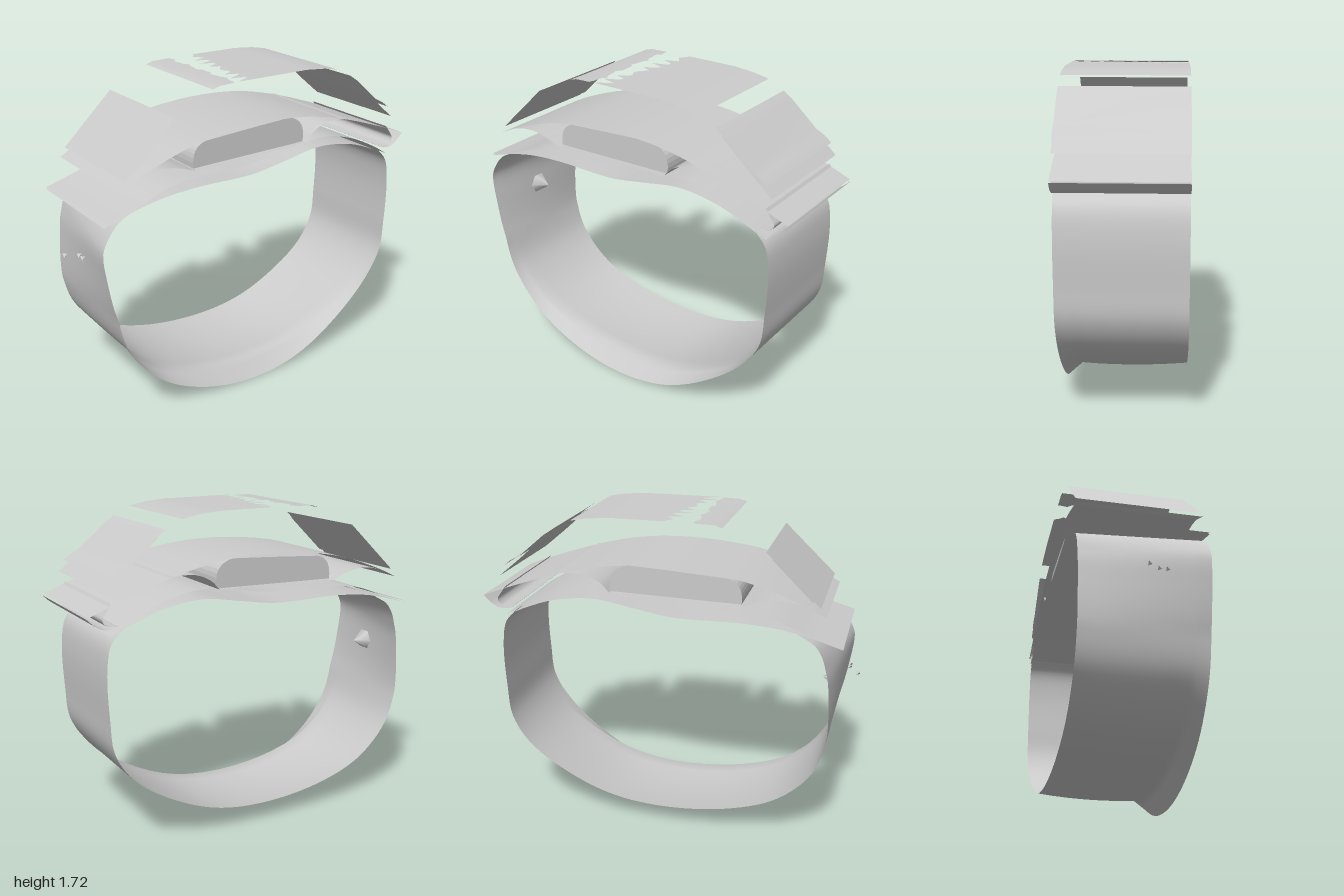
import * as THREE from 'three';

const W = 0.32; // half width of the bracelet along z
const material = new THREE.MeshStandardMaterial({ color: 0xcccccc, side: THREE.DoubleSide });

// Sample a smooth curve, or keep the given corners when smooth is false
function sample(points, smooth, count = 64, closed = false) {
  const v = points.map(([x, y]) => new THREE.Vector3(x, y, 0));
  return smooth ? new THREE.CatmullRomCurve3(v, closed, 'centripetal').getPoints(count) : v;
}

// Sheet that carries a side profile across z; shift(p, z) may bend it, edge(z) may trim its ends in x
function sheet(name, points, { smooth = true, zs = [W, -W], shift, count } = {}) {
  const line = sample(points, smooth, count);
  const n = line.length, pos = [], idx = [];
  for (const z of zs) for (const [i, p] of line.entries()) {
    const q = shift ? shift(p, z, i / (n - 1)) : [p.x, p.y];
    pos.push(q[0], q[1], z);
  }
  for (let r = 0; r < zs.length - 1; r++) for (let i = 0; i < n - 1; i++) {
    const a = r * n + i, b = a + n;
    idx.push(a, a + 1, b, b, a + 1, b + 1);
  }
  const g = new THREE.BufferGeometry();
  g.setAttribute('position', new THREE.Float32BufferAttribute(pos, 3));
  g.setIndex(idx);
  g.computeVertexNormals();
  const mesh = new THREE.Mesh(g, material);
  mesh.name = name;
  return mesh;
}

const range = (a, b, n) => Array.from({ length: n + 1 }, (_, i) => a + (b - a) * i / n);

export function createModel() {
  const model = new THREE.Group();
  model.name = 'bracelet';

  // Wrist strap: leans inward at the upper left rear, flares down at the front lower edge
  const strap = [[-0.72, 1.2], [-0.82, 1.14], [-0.885, 1.02], [-0.89, 0.85], [-0.865, 0.62], [-0.8, 0.43],
    [-0.62, 0.25], [-0.35, 0.145], [0, 0.105], [0.3, 0.14], [0.56, 0.25], [0.78, 0.41], [0.88, 0.57],
    [0.9, 0.75], [0.905, 1.0], [0.88, 1.13], [0.82, 1.2]];
  model.add(sheet('wristStrap', strap, {
    count: 100,
    zs: [W, 0.29, 0.26, 0.235, 0.16, 0.08, 0, -0.08, -0.16, -0.24, -W],
    shift: (p, z) => {
      const flare = Math.max(0, (z - 0.235) / 0.085);
      const low = Math.max(0, Math.cos(Math.PI / 2 * Math.min(1, Math.abs(p.x + 0.05) / 0.85)));
      const bottom = p.y < 0.6 ? 1 : 0;
      const belly = -0.025 * (1 - (z / W) ** 2) * low * bottom;
      const lean = p.x < 0 ? Math.max(0, 1 - Math.abs(p.y - 1.02) / 0.4) * -0.045 * z / W : 0;
      return [p.x + lean, p.y + belly + bottom * low * (0.015 - 0.11 * flare)];
    },
  }));

  // Base plates lying on the strap
  model.add(sheet('basePlateUpper', [[-0.92, 1.15], [-0.75, 1.2], [-0.55, 1.27], [-0.3, 1.29], [0, 1.3],
    [0.25, 1.335], [0.42, 1.35], [0.6, 1.31], [0.76, 1.24], [0.88, 1.17]]));
  model.add(sheet('basePlateLower', [[-0.92, 1.14], [-0.75, 1.19], [-0.6, 1.22], [-0.4, 1.235], [-0.05, 1.235],
    [0.15, 1.265], [0.38, 1.3], [0.6, 1.275], [0.76, 1.22], [0.85, 1.18]]));

  // Tray holding the display block
  model.add(sheet('trayLeft', [[-0.83, 1.3], [-0.72, 1.35], [-0.6, 1.37], [-0.5, 1.355], [-0.4, 1.32]]));
  model.add(sheet('trayFloor', [[-0.4, 1.32], [-0.1, 1.325], [0.1, 1.335], [0.29, 1.34]]));
  model.add(sheet('trayRight', [[0.29, 1.34], [0.34, 1.39], [0.42, 1.425], [0.5, 1.43], [0.57, 1.425]]));

  // Display block
  const s = new THREE.Shape();
  s.moveTo(-0.4, 1.325);
  s.lineTo(0.29, 1.34);
  s.quadraticCurveTo(0.31, 1.46, 0.2, 1.485);
  s.lineTo(0, 1.475);
  s.lineTo(-0.32, 1.455);
  s.quadraticCurveTo(-0.41, 1.44, -0.4, 1.325);
  const block = new THREE.Mesh(new THREE.ExtrudeGeometry(s, { depth: 0.58, bevelEnabled: false, curveSegments: 8 }), material);
  block.position.z = -0.29;
  block.name = 'displayBlock';
  model.add(block);

  // Arched cover and the hooked clasp at its left end
  model.add(sheet('archedCover', [[-0.83, 1.3], [-0.7, 1.36], [-0.45, 1.445], [-0.2, 1.485], [0.05, 1.497],
    [0.3, 1.48], [0.55, 1.425], [0.8, 1.345], [0.99, 1.275]]));
  model.add(sheet('claspHook', [[0.87, 1.33], [0.9, 1.29], [0.92, 1.255], [0.9, 1.225], [0.84, 1.215],
    [0.9, 1.205], [0.95, 1.225], [1.0, 1.27]]));

  // Raised outer shell: sloping panels on each side
  const panels = [
    ['rightPanelOuter', [[-0.8, 1.345], [-0.52, 1.61]]],
    ['rightPanelInner', [[-0.76, 1.37], [-0.55, 1.575]]],
    ['leftPanel', [[0.58, 1.66], [0.64, 1.62], [0.78, 1.5], [0.83, 1.475], [0.87, 1.445]]],
    ['leftPanelInner', [[0.62, 1.625], [0.78, 1.485], [0.9, 1.385]]],
  ];
  for (const [name, points] of panels) model.add(sheet(name, points, { smooth: false }));

  // Top sheet: two pieces facing each other across a ragged gap
  const rows = range(W, -W, 24);
  const jag = (z, k) => 0.02 * Math.sin(z * 37 * k) + 0.015 * Math.sin(z * 91 + k);
  model.add(sheet('topSheetRight', [[-0.3, 1.715], [-0.26, 1.727], [-0.16, 1.73]], {
    smooth: false, zs: rows, shift: (p, z, t) => [p.x + (t === 1 ? jag(z, 1) * 0.5 : 0), p.y],
  }));
  model.add(sheet('topSheetLeft', [[-0.06, 1.732], [0.28, 1.732], [0.4, 1.722], [0.49, 1.705]], {
    smooth: false, zs: rows,
    shift: (p, z, t) => [p.x + (t === 0 ? jag(z, 2) * 1.6 - 0.15 * z : 0), p.y],
  }));

  // Small fastener inside the strap and loose chips outside it
  const stud = new THREE.Mesh(new THREE.ConeGeometry(0.06, 0.08, 6), material);
  stud.rotation.z = -Math.PI / 2;
  stud.position.set(-0.84, 0.86, 0);
  stud.name = 'strapStud';
  model.add(stud);
  for (const [x, y, z] of [[-0.985, 0.9, 0], [-0.935, 0.91, 0.06], [-0.935, 0.91, 0.1]]) {
    const chip = new THREE.Mesh(new THREE.TetrahedronGeometry(0.015), material);
    chip.position.set(x, y, z);
    chip.name = 'studChip';
    model.add(chip);
  }
  return model;
}
